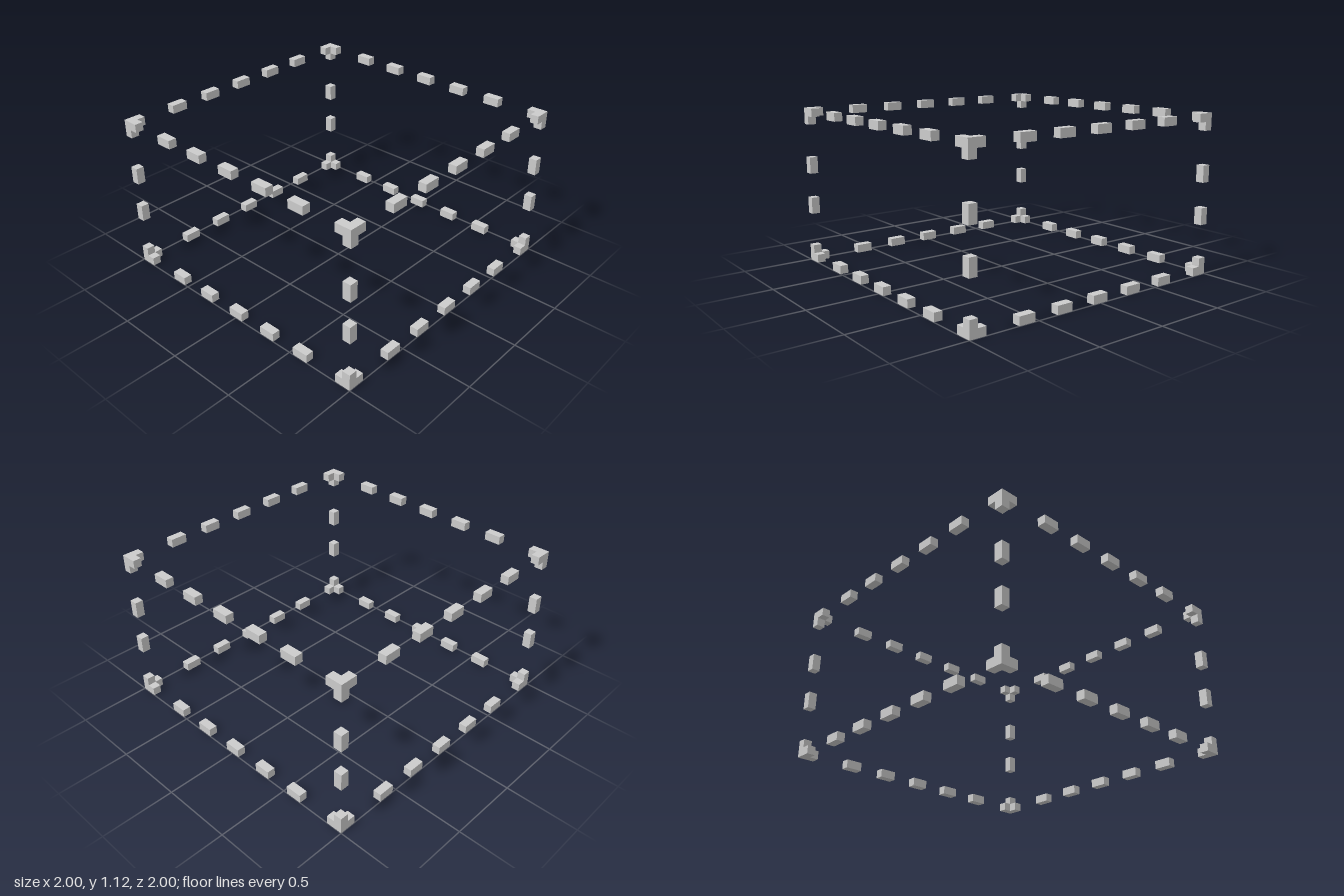
import * as THREE from 'three';

const U = 2 / 17;          // dash length
const T = U / 2;           // bar thickness
const H = 19 * T;          // overall height
const EDGE = 1 - T / 2;    // bar centre line in x and z
const LOW = T / 2, HIGH = H - T / 2;

export function createModel() {
  const model = new THREE.Group();
  model.name = 'dashedBoxFrame';
  const material = new THREE.MeshStandardMaterial({ color: 0xcccccc, flatShading: true });
  const cube = new THREE.BoxGeometry(T, T, T);
  const dashes = {
    x: new THREE.BoxGeometry(U, T, T),
    y: new THREE.BoxGeometry(T, U, T),
    z: new THREE.BoxGeometry(T, T, U),
  };

  const add = (parent, name, geometry, x, y, z) => {
    const mesh = new THREE.Mesh(geometry, material);
    mesh.name = name;
    mesh.position.set(x, y, z);
    parent.add(mesh);
  };

  // Horizontal dashes along the top and bottom edges
  for (const y of [LOW, HIGH]) {
    const level = y === LOW ? 'bottom' : 'top';
    for (const side of [-1, 1]) {
      for (let i = -2; i <= 2; i++) {
        const along = i * 5 * T;
        add(model, level + 'WidthDash', dashes.x, along, y, side * EDGE);
        add(model, level + 'DepthDash', dashes.z, side * EDGE, y, along);
      }
    }
  }

  for (const sx of [-1, 1]) {
    for (const sz of [-1, 1]) {
      // Upright dashes
      for (const y of [7 * T, 12 * T]) add(model, 'uprightDash', dashes.y, sx * EDGE, y, sz * EDGE);

      // Three-armed corner brackets
      for (const sy of [-1, 1]) {
        const corner = new THREE.Group();
        corner.name = 'cornerBracket';
        corner.position.set(sx * EDGE, sy < 0 ? LOW : HIGH, sz * EDGE);
        add(corner, 'widthArm', dashes.x, -sx * T / 2, 0, 0);
        add(corner, 'uprightArm', cube, 0, -sy * T, 0);
        add(corner, 'depthArm', cube, 0, 0, -sz * T);
        model.add(corner);
      }
    }
  }
  return model;
}
